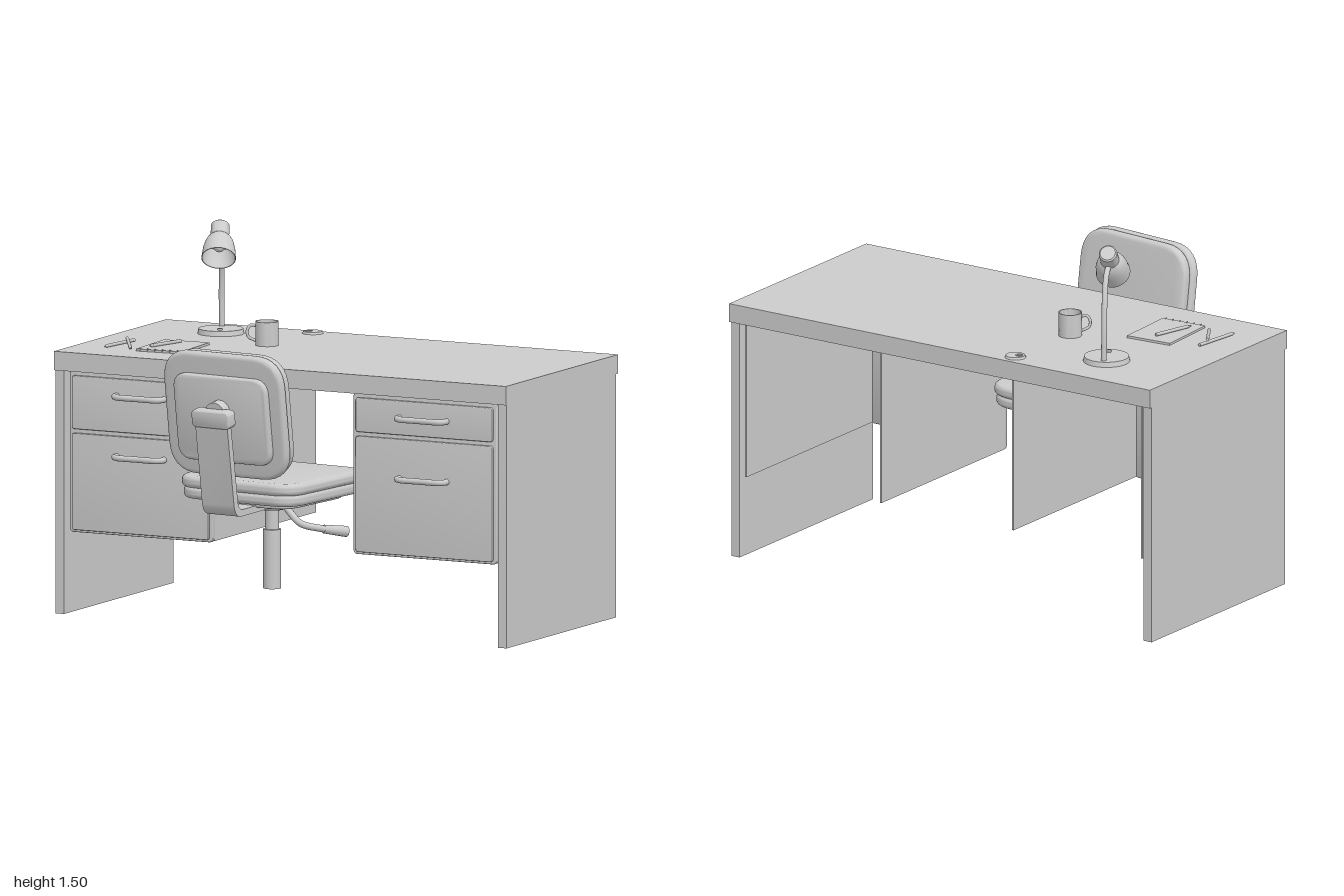
import * as THREE from 'three';
import { toCreasedNormals } from 'three/addons/utils/BufferGeometryUtils.js';

const material = new THREE.MeshStandardMaterial({ color: 0xcccccc });
const openMaterial = new THREE.MeshStandardMaterial({ color: 0xcccccc, side: THREE.DoubleSide });
const V = (x, y, z) => new THREE.Vector3(x, y, z);

function add(parent, name, geometry, x = 0, y = 0, z = 0, mat = material) {
  const mesh = new THREE.Mesh(geometry, mat);
  mesh.name = name;
  mesh.position.set(x, y, z);
  parent.add(mesh);
  return mesh;
}

function group(parent, name, x = 0, y = 0, z = 0) {
  const g = new THREE.Group();
  g.name = name;
  g.position.set(x, y, z);
  parent.add(g);
  return g;
}

// Box given by its limits on each axis
function block(parent, name, [x0, x1], [y0, y1], [z0, z1]) {
  return add(parent, name, new THREE.BoxGeometry(x1 - x0, y1 - y0, z1 - z0),
    (x0 + x1) / 2, (y0 + y1) / 2, (z0 + z1) / 2);
}

// Rounded slab in the xy plane, centred, with soft edges
function pad(w, h, d, r, bevel) {
  const s = new THREE.Shape(), x = w / 2 - bevel, y = h / 2 - bevel;
  s.moveTo(-x + r, -y);
  s.lineTo(x - r, -y).quadraticCurveTo(x, -y, x, -y + r);
  s.lineTo(x, y - r).quadraticCurveTo(x, y, x - r, y);
  s.lineTo(-x + r, y).quadraticCurveTo(-x, y, -x, y - r);
  s.lineTo(-x, -y + r).quadraticCurveTo(-x, -y, -x + r, -y);
  const geo = new THREE.ExtrudeGeometry(s, {
    depth: d - 2 * bevel, bevelThickness: bevel, bevelSize: bevel, bevelSegments: 4, curveSegments: 8,
  });
  geo.translate(0, 0, bevel - d / 2);
  return toCreasedNormals(geo, 0.7);
}

const tube = (points, r, segments = 32) =>
  new THREE.TubeGeometry(new THREE.CatmullRomCurve3(points), segments, r, 12);

// Round bar between two points
function rod(parent, name, a, b, r0, r1 = r0, sides = 12) {
  const dir = b.clone().sub(a);
  const mesh = add(parent, name, new THREE.CylinderGeometry(r1, r0, dir.length(), sides));
  mesh.position.copy(a).add(b).multiplyScalar(0.5);
  mesh.quaternion.setFromUnitVectors(V(0, 1, 0), dir.normalize());
  return mesh;
}

function buildDesk(root) {
  const desk = group(root, 'desk');
  block(desk, 'desktop', [-1, 1], [0.965, 1.04], [-0.73, 0.22]);
  for (const side of [-1, 1]) {
    const span = (a, b) => (side > 0 ? [a, b] : [-b, -a]);
    block(desk, 'sidePanel', span(0.96, 0.998), [0, 0.965], [-0.715, 0.21]);

    // Pedestal: two thin walls and a front, open behind and below
    const pedestal = group(desk, side > 0 ? 'leftPedestal' : 'rightPedestal');
    block(pedestal, 'innerWall', span(0.31, 0.318), [0.33, 0.965], [-0.68, 0.18]);
    block(pedestal, 'outerWall', span(0.937, 0.945), [0.33, 0.965], [-0.7, 0.18]);
    add(pedestal, 'pedestalFront', pad(0.635, 0.64, 0.02, 0.015, 0.004), side * 0.6275, 0.645, 0.182);

    // Drawers, with a shallower top drawer on one side
    const split = side > 0 ? 0.803 : 0.727;
    for (const [y0, y1, grip] of [[0.335, split - 0.008, 0.64], [split + 0.008, 0.947, 0.88]]) {
      add(pedestal, 'drawerFront', pad(0.605, y1 - y0, 0.02, 0.008, 0.004), side * 0.6275, (y0 + y1) / 2, 0.193);
      const path = [V(-0.104, 0, 0), V(-0.104, 0, 0.025), V(-0.085, 0, 0.044),
        V(0, 0, 0.046), V(0.085, 0, 0.044), V(0.104, 0, 0.025), V(0.104, 0, 0)];
      add(pedestal, 'drawerHandle', tube(path, 0.012, 40), side * 0.625, grip, 0.2);
    }
  }
  // Cable grommet near the back edge
  add(desk, 'cableGrommet', new THREE.CylinderGeometry(0.038, 0.042, 0.01, 24), -0.32, 1.044, -0.67);
  const ring = add(desk, 'grommetOpening', new THREE.TorusGeometry(0.012, 0.003, 8, 16), -0.335, 1.049, -0.665);
  ring.rotation.x = Math.PI / 2;
}

function buildChair(root) {
  const chair = group(root, 'chair', 0, 0, 0.285);
  chair.rotation.y = -0.1;

  // Post and hub
  add(chair, 'postSleeve', new THREE.CylinderGeometry(0.035, 0.035, 0.235, 24), 0, 0.2975, 0);
  add(chair, 'postRod', new THREE.CylinderGeometry(0.027, 0.027, 0.12, 24), 0, 0.47, 0);
  add(chair, 'postFlange', new THREE.CylinderGeometry(0.062, 0.05, 0.012, 24), 0, 0.5, 0);
  add(chair, 'seatHub', new THREE.CylinderGeometry(0.13, 0.11, 0.03, 32), 0, 0.53, 0);

  // Seat in layers
  for (const [name, w, l, d, y] of [['seatPlate', 0.44, 0.46, 0.025, 0.545],
    ['seatShell', 0.55, 0.56, 0.05, 0.575], ['seatCushion', 0.56, 0.57, 0.048, 0.618]]) {
    const layer = add(chair, name, pad(w, l, d, 0.09, d * 0.4), 0, y, 0);
    layer.rotation.x = -Math.PI / 2;
  }

  // Tilted backrest in layers
  const back = group(chair, 'backrest', 0, 0.91, 0.3);
  back.rotation.x = 0.14;
  add(back, 'backCushion', pad(0.54, 0.49, 0.045, 0.11, 0.018), 0, 0, -0.018);
  add(back, 'backShell', pad(0.555, 0.5, 0.042, 0.11, 0.017), 0, 0, 0.02);
  add(back, 'rearPad', pad(0.435, 0.35, 0.035, 0.05, 0.012), 0, -0.01, 0.048);

  // Bent strap carrying the backrest
  const s = new THREE.Shape();
  s.moveTo(0, 0.522);
  s.lineTo(0.33, 0.511).quadraticCurveTo(0.375, 0.51, 0.385, 0.56);
  s.lineTo(0.442, 0.93).lineTo(0.415, 0.93).lineTo(0.357, 0.57);
  s.quadraticCurveTo(0.35, 0.538, 0.32, 0.538).lineTo(0, 0.55);
  const strap = new THREE.ExtrudeGeometry(s, { depth: 0.15, bevelEnabled: false, curveSegments: 10 });
  strap.translate(0, 0, -0.075).rotateY(-Math.PI / 2);
  add(chair, 'backStrap', toCreasedNormals(strap, 0.6));
  const clamp = add(chair, 'strapClamp', pad(0.175, 0.07, 0.055, 0.012, 0.008), 0, 0.905, 0.418);
  clamp.rotation.x = 0.14;
  const knob = add(chair, 'backKnob', new THREE.CylinderGeometry(0.045, 0.045, 0.05, 24), 0, 0.925, 0.385);
  knob.rotation.x = Math.PI / 2 + 0.14;

  // Height lever with a thicker grip
  add(chair, 'heightLever', tube([V(0.04, 0.53, -0.01), V(0.11, 0.495, 0.04), V(0.17, 0.455, 0.05),
    V(0.23, 0.435, 0), V(0.27, 0.42, -0.07)], 0.014));
  rod(chair, 'leverGrip', V(0.235, 0.432, -0.01), V(0.285, 0.415, -0.1), 0.017, 0.022);
}

function buildLamp(root) {
  const lamp = group(root, 'lamp');
  add(lamp, 'lampBase', new THREE.CylinderGeometry(0.088, 0.092, 0.02, 40), -0.64, 1.05, -0.505);
  add(lamp, 'lampSwitch', new THREE.CylinderGeometry(0.01, 0.01, 0.008, 12), -0.62, 1.063, -0.46);
  add(lamp, 'lampArm', tube([V(-0.665, 1.05, -0.56), V(-0.664, 1.19, -0.556), V(-0.652, 1.31, -0.535),
    V(-0.635, 1.385, -0.5), V(-0.618, 1.42, -0.455)], 0.011));

  // Head: narrow neck opening into a bell, hollow inside
  const profile = [[0, 0], [0.03, 0], [0.036, 0.006], [0.037, 0.062], [0.046, 0.072], [0.055, 0.09],
    [0.063, 0.12], [0.068, 0.168], [0.065, 0.168], [0.06, 0.12], [0.05, 0.09], [0, 0.07]];
  const shade = add(lamp, 'lampShade', toCreasedNormals(new THREE.LatheGeometry(
    profile.map(([r, y]) => new THREE.Vector2(r, y)), 32), 0.7), -0.632, 1.475, -0.485, openMaterial);
  shade.quaternion.setFromUnitVectors(V(0, 1, 0), V(0.05, -0.115, 0.11).normalize());
  const bulb = add(shade, 'bulb', new THREE.SphereGeometry(0.026, 16, 12), 0, 0.1, 0);
  bulb.scale.y = 1.3;
}

function buildDeskItems(root) {
  // Mug
  const mug = group(root, 'mug', -0.335, 1.04, -0.312);
  mug.rotation.y = -2.55;
  const wall = [[0, 0], [0.046, 0], [0.046, 0.095], [0.042, 0.095], [0.042, 0.008], [0, 0.008]];
  add(mug, 'mugBody', toCreasedNormals(new THREE.LatheGeometry(
    wall.map(([r, y]) => new THREE.Vector2(r, y)), 32), 0.6), 0, 0, 0, openMaterial);
  add(mug, 'mugHandle', tube([V(0.043, 0.078, 0), V(0.065, 0.08, 0), V(0.078, 0.06, 0),
    V(0.074, 0.035, 0), V(0.043, 0.018, 0)], 0.006, 20));

  // Notepad with a row of binding rings
  const notepad = group(root, 'notepad', -0.628, 1.044, -0.075);
  notepad.rotation.y = 0.06;
  add(notepad, 'paper', new THREE.BoxGeometry(0.195, 0.01, 0.27));
  for (let i = 0; i < 6; i++) {
    add(notepad, 'bindingRing', new THREE.TorusGeometry(0.005, 0.0015, 6, 10), -0.08 + i * 0.032, 0.004, 0.133)
      .rotation.y = Math.PI / 2;
  }

  // Pens with pointed tips
  for (const [a, b] of [[V(-0.68, 1.056, 0), V(-0.638, 1.056, -0.16)],
    [V(-0.86, 1.047, 0.04), V(-0.838, 1.047, -0.15)], [V(-0.758, 1.047, 0.035), V(-0.845, 1.059, -0.105)]]) {
    const tip = a.clone().add(a.clone().sub(b).setLength(0.018));
    rod(root, 'pen', a, b, 0.007, 0.007, 8);
    rod(root, 'penTip', a, tip, 0.007, 0.001, 8);
  }
}

export function createModel() {
  const root = new THREE.Group();
  root.name = 'deskWithChair';
  buildDesk(root);
  buildChair(root);
  buildLamp(root);
  buildDeskItems(root);
  return root;
}
